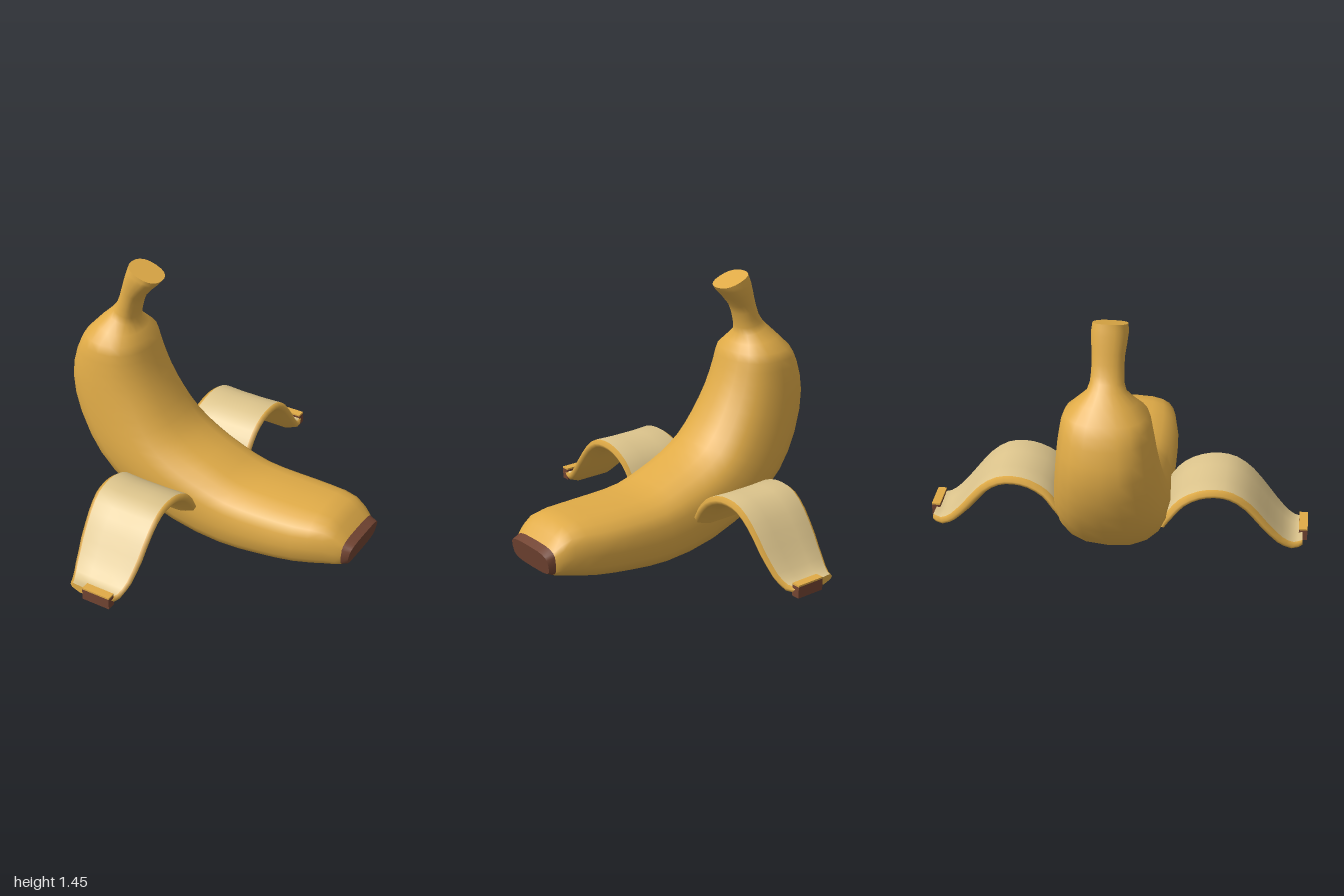
import * as THREE from 'three';

const mat = (name, color) => Object.assign(new THREE.MeshStandardMaterial({ color }), { name });

// Skin through closed rings of points; columnMaterial picks a material slot per column
function loft(rings, { capStart, capEnd, flip, columnMaterial = () => 0 } = {}) {
  const n = rings[0].length;
  const points = rings.flat();
  const index = [];
  const geo = new THREE.BufferGeometry();
  const tri = (a, b, c) => (flip ? index.push(a, c, b) : index.push(a, b, c));
  for (let j = 0; j < n; j++) {
    const start = index.length;
    const k = (j + 1) % n;
    for (let i = 0; i < rings.length - 1; i++) {
      const a = i * n + j, b = i * n + k;
      tri(a, b, a + n);
      tri(b, b + n, a + n);
    }
    geo.addGroup(start, index.length - start, columnMaterial(j));
  }
  // Flat caps have their own vertices so that their rims stay sharp
  const cap = (ring, end) => {
    const start = index.length, base = points.length;
    const centre = ring.reduce((s, p) => s.add(p), new THREE.Vector3()).divideScalar(n);
    points.push(centre, ...ring);
    for (let j = 0; j < n; j++) {
      const a = base + 1 + j, b = base + 1 + ((j + 1) % n);
      end ? tri(base, a, b) : tri(base, b, a);
    }
    geo.addGroup(start, index.length - start, 0);
  };
  if (capStart) cap(rings[0], false);
  if (capEnd) cap(rings[rings.length - 1], true);
  geo.setFromPoints(points);
  geo.setIndex(index);
  geo.computeVertexNormals();
  return geo;
}

// Superellipse ring between an outer and an inner edge point
function bodyRing(outer, inner, halfWidth, power, sides = 20) {
  const centre = outer.clone().add(inner).multiplyScalar(0.5).setZ(0);
  const u = inner.clone().sub(outer).multiplyScalar(0.5).setZ(0);
  const bend = (v) => Math.sign(v) * Math.abs(v) ** (2 / power);
  return Array.from({ length: sides }, (_, j) => {
    const a = (j / sides) * Math.PI * 2;
    const p = centre.clone().addScaledVector(u, bend(Math.cos(a)));
    p.z = halfWidth * bend(Math.sin(a));
    return p;
  });
}

// Stem to tip: outer x, y, inner x, y, half width, squareness
const BODY = [
  [-0.53, 1.455, -0.35, 1.39, 0.085, 2.4],
  [-0.55, 1.40, -0.37, 1.365, 0.09, 2.4],
  [-0.575, 1.32, -0.46, 1.27, 0.08, 2.2],
  [-0.61, 1.22, -0.49, 1.19, 0.08, 2.2],
  [-0.66, 1.16, -0.50, 1.11, 0.095, 2.2],
  [-0.78, 1.04, -0.44, 1.03, 0.20, 2.3],
  [-0.835, 0.94, -0.41, 0.94, 0.225, 2.3],
  [-0.87, 0.77, -0.36, 0.82, 0.245, 2.3],
  [-0.82, 0.55, -0.28, 0.68, 0.265, 2.4],
  [-0.70, 0.35, -0.19, 0.57, 0.282, 2.4],
  [-0.50, 0.18, -0.08, 0.50, 0.287, 2.4],
  [-0.20, 0.045, 0.04, 0.45, 0.277, 2.5],
  [0.12, 0.005, 0.18, 0.40, 0.27, 2.6],
  [0.35, 0.025, 0.36, 0.387, 0.265, 2.6],
  [0.57, 0.06, 0.56, 0.385, 0.253, 2.6],
  [0.74, 0.105, 0.72, 0.375, 0.215, 2.8],
  [0.815, 0.135, 0.82, 0.29, 0.172, 3.6],
];

// Peel flap along z: z, y of its top face, left edge x, right edge x, thickness
const PEEL = [
  [0.235, 0.26, -0.41, 0.01, 0.06],
  [0.28, 0.335, -0.415, 0.02, 0.065],
  [0.34, 0.405, -0.40, 0.02, 0.07],
  [0.43, 0.453, -0.39, 0.02, 0.07],
  [0.52, 0.467, -0.385, 0.022, 0.07],
  [0.61, 0.45, -0.38, 0.022, 0.07],
  [0.70, 0.385, -0.37, 0.02, 0.068],
  [0.79, 0.275, -0.36, 0.015, 0.065],
  [0.87, 0.18, -0.34, 0.0, 0.062],
  [0.93, 0.138, -0.315, -0.02, 0.06],
  [0.975, 0.14, -0.29, -0.04, 0.045],
];
// Flap section: across (-1 to 1), depth (share of thickness); slots 2 to 4 are the inner face
const SECTION = [
  [0.93, -0.6], [1, -0.28], [0.9, 0], [0.35, -0.06], [-0.35, -0.06],
  [-0.87, 0], [-1, -0.28], [-0.93, -0.6], [-0.55, -0.95], [0.55, -0.95],
];

function peelGeometry(side) {
  const path = new THREE.CatmullRomCurve3(PEEL.map(([z, y]) => new THREE.Vector3(0, y, z)));
  const last = PEEL.length - 1;
  const rings = [];
  for (let s = 0; s <= last * 2; s++) {
    const f = s / 2, i = Math.min(Math.floor(f), last - 1);
    const mix = (k) => THREE.MathUtils.lerp(PEEL[i][k], PEEL[i + 1][k], f - i);
    const p = path.getPoint(f / last), t = path.getTangent(f / last);
    const mid = (mix(2) + mix(3)) / 2, half = (mix(3) - mix(2)) / 2;
    rings.push(SECTION.map(([across, depth]) => {
      const d = depth * mix(4);
      return new THREE.Vector3(mid + half * across, p.y + t.z * d, side * (p.z - t.y * d));
    }));
  }
  return loft(rings, {
    capStart: true, capEnd: true, flip: side < 0,
    columnMaterial: (j) => (j >= 2 && j <= 4 ? 1 : 0),
  });
}

export function createModel() {
  const yellow = mat('skin yellow', 0xe0ab47);
  const cream = mat('inner peel cream', 0xdcc48c);
  const brown = mat('tip brown', 0x724432);
  const group = new THREE.Group();
  group.name = 'banana';
  const add = (name, geo, material, parent = group) => {
    const mesh = new THREE.Mesh(geo, material);
    mesh.name = name;
    parent.add(mesh);
    return mesh;
  };

  // Curved fruit with its stem
  const outer = new THREE.CatmullRomCurve3(BODY.map((b) => new THREE.Vector3(b[0], b[1], b[5])), false, 'centripetal');
  const inner = new THREE.CatmullRomCurve3(BODY.map((b) => new THREE.Vector3(b[2], b[3], b[4])), false, 'centripetal');
  const steps = (BODY.length - 1) * 2;
  const rings = Array.from({ length: steps + 1 }, (_, s) => {
    const o = outer.getPoint(s / steps), i = inner.getPoint(s / steps);
    return bodyRing(o, i, i.z, o.z);
  });
  add('body', loft(rings, { capStart: true }), [yellow]);

  // Dark blossom end
  const endRing = bodyRing(new THREE.Vector3(0.842, 0.148, 0), new THREE.Vector3(0.866, 0.272, 0), 0.16, 3.6);
  add('blossomEnd', loft([rings[steps], endRing], { capEnd: true }), [brown]);

  // Two mirrored peel flaps with dark ends
  for (const side of [1, -1]) {
    const flap = new THREE.Group();
    flap.name = side > 0 ? 'frontPeel' : 'backPeel';
    group.add(flap);
    add('peelFlap', peelGeometry(side), [yellow, cream], flap);
    const tip = add('peelTip', new THREE.BoxGeometry(0.16, 0.06, 0.045), brown, flap);
    tip.position.set(-0.12, 0.118, side * 0.9775);
    const lip = add('peelTipLip', new THREE.BoxGeometry(0.16, 0.009, 0.045), yellow, flap);
    lip.position.set(-0.12, 0.1525, side * 0.9775);
  }
  return group;
}
